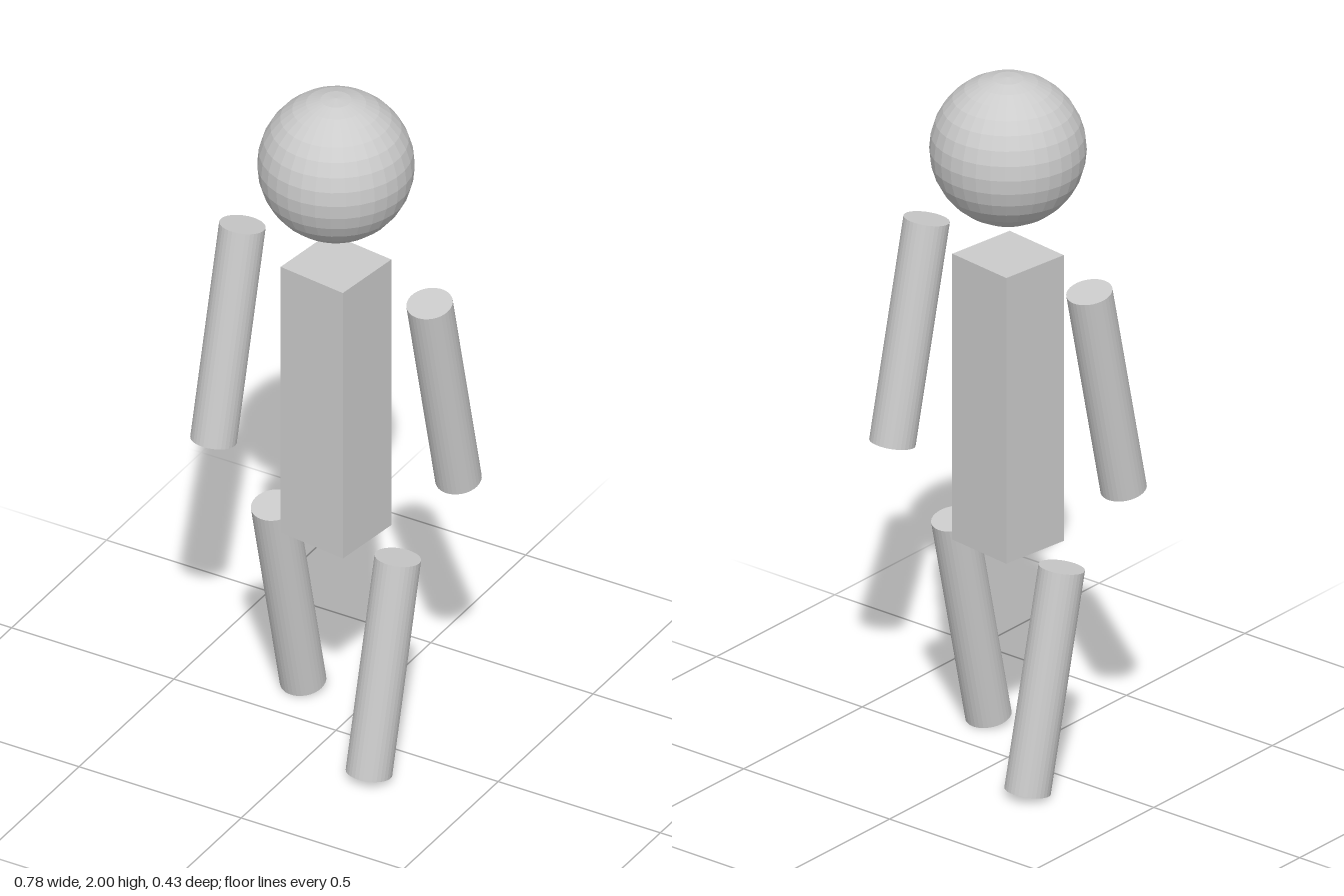
import * as THREE from 'three';

const material = new THREE.MeshStandardMaterial({ color: 0xcccccc, flatShading: true });
const SWING = 0.2;
const LIMB_RADIUS = 0.0625;
const LIMB_LENGTH = 0.63;

function part(name, geometry, y) {
  const mesh = new THREE.Mesh(geometry, material);
  mesh.name = name;
  mesh.position.y = y;
  return mesh;
}

// A limb hung from its top centre and swung backwards (+) or forwards (-)
function limb(name, x, topY, swing) {
  const geometry = new THREE.CylinderGeometry(LIMB_RADIUS, LIMB_RADIUS, LIMB_LENGTH, 32);
  geometry.translate(0, -LIMB_LENGTH / 2, 0);
  const mesh = part(name, geometry, topY);
  mesh.position.x = x;
  mesh.rotation.x = swing;
  return mesh;
}

export function createModel() {
  const figure = new THREE.Group();
  figure.name = 'walkingFigure';

  figure.add(part('head', new THREE.SphereGeometry(0.21, 32, 16), 1.79));
  figure.add(part('torso', new THREE.BoxGeometry(0.21, 0.84, 0.21), 1.058));

  // Arms and legs swing in opposite phase on each side
  for (const [side, s] of [['left', 1], ['right', -1]]) {
    figure.add(limb(side + 'Arm', s * 0.316, 1.475, s * SWING));
    figure.add(limb(side + 'Leg', s * 0.209, 0.63, -s * SWING));
  }

  // The whole figure is turned slightly
  figure.rotation.y = -0.134;

  const model = new THREE.Group();
  model.name = 'model';
  model.add(figure);
  return model;
}
